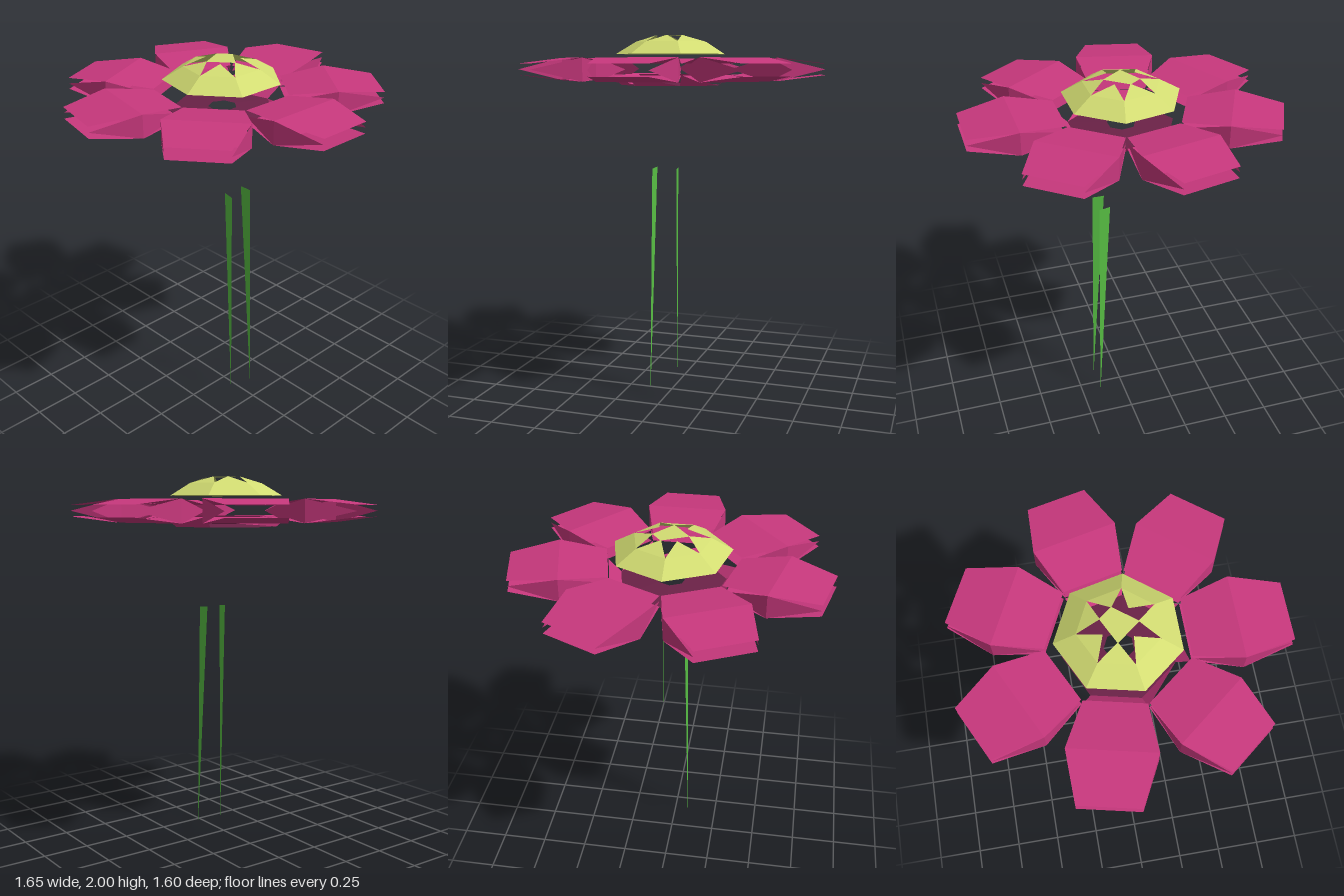
import * as THREE from 'three';

const SIDES = 7;
const STEP = (Math.PI * 2) / SIDES;

const makeMaterial = (name, color) => {
  const m = new THREE.MeshStandardMaterial({ color, side: THREE.DoubleSide, flatShading: true });
  m.name = name;
  return m;
};

// Sheet mesh from flat polygons (each a list of [x, y, z] corners, fanned)
function sheet(name, material, polygons) {
  const pos = [];
  for (const p of polygons) {
    for (let i = 1; i < p.length - 1; i++) pos.push(...p[0], ...p[i], ...p[i + 1]);
  }
  const g = new THREE.BufferGeometry();
  g.setAttribute('position', new THREE.Float32BufferAttribute(pos, 3));
  g.computeVertexNormals();
  const mesh = new THREE.Mesh(g, material);
  mesh.name = name;
  return mesh;
}

// Point on a heptagon ring; k = 0 points to the front, k = 0.5 is a corner
const ring = (k, r, y) => [Math.sin(k * STEP) * r, y, Math.cos(k * STEP) * r];

export function createModel() {
  const pink = makeMaterial('petal pink', 0xc8387d);
  const plum = makeMaterial('base plum', 0x6b2247);
  const lime = makeMaterial('centre lime', 0xd2dc72);
  const green = makeMaterial('stem green', 0x58c044);

  const model = new THREE.Group();
  model.name = 'flower';
  const head = new THREE.Group();
  head.name = 'flowerHead';
  head.position.z = -0.01;
  model.add(head);

  // Petals: open-ended shells, mirrored about mid height
  const MID = 1.82;
  const stations = [[0.32, 0.15, 0.03], [0.56, 0.212, 0.06], [0.81, 0.15, 0.03]];
  const faces = [];
  for (const s of [1, -1]) {
    for (let j = 0; j < 2; j++) {
      const [z0, w0, h0] = stations[j];
      const [z1, w1, h1] = stations[j + 1];
      const quad = [
        [-w0, MID + s * h0, z0], [-w1, MID + s * h1, z1],
        [w1, MID + s * h1, z1], [w0, MID + s * h0, z0],
      ];
      faces.push(s > 0 ? quad : quad.reverse());
    }
    // Pointed side walls, s is the side here
    const [zm, wm, hm] = stations[1];
    for (const [ze, we] of [stations[0], stations[2]]) {
      faces.push([[s * wm, MID - hm, zm], [s * wm, MID + hm, zm], [s * we, MID, ze]]);
    }
  }
  for (let i = 0; i < SIDES; i++) {
    const petal = sheet('petal', pink, faces);
    petal.rotation.y = i * STEP;
    head.add(petal);
  }

  // Base dish with a small open middle
  const dish = [];
  for (let i = 0; i < SIDES; i++) {
    dish.push([
      ring(i - 0.5, 0.28, 1.735), ring(i - 0.5, 0.075, 1.75),
      ring(i + 0.5, 0.075, 1.75), ring(i + 0.5, 0.28, 1.735),
    ]);
  }
  head.add(sheet('baseDish', plum, dish));

  // Dish walls: full on the left and right, slivers at the front
  const walls = [];
  for (const i of [2, 5]) {
    walls.push([
      ring(i - 0.5, 0.28, 1.735), ring(i + 0.5, 0.28, 1.735),
      ring(i + 0.5, 0.35, 1.79), ring(i - 0.5, 0.35, 1.79),
    ]);
  }
  for (const i of [-1, 0, 1]) {
    walls.push([ring(i - 0.5, 0.28, 1.735), ring(i + 0.5, 0.28, 1.735), ring(i - 0.5, 0.35, 1.79)]);
  }
  head.add(sheet('dishWall', pink, walls));

  // Faceted dome: sloped band, inward teeth and a loose cap
  const dome = [];
  for (let i = 0; i < SIDES; i++) {
    const a = ring(i - 0.5, 0.2, 1.965);
    const b = ring(i + 0.5, 0.2, 1.965);
    dome.push([ring(i - 0.5, 0.31, 1.9), ring(i + 0.5, 0.31, 1.9), b, a]);
    dome.push([a, b, ring(i, 0.09, 2)]);
  }
  head.add(sheet('centreDome', lime, dome));
  head.add(sheet('domeCap', lime, [[0, 2, 3, 5].map((k) => ring(k, 0.095, 1.999))]));

  // Stem: two tapering slivers
  for (const s of [1, -1]) {
    model.add(sheet(s > 0 ? 'leftStem' : 'rightStem', green, [
      [[s * 0.08, 0, 0.145], [s * 0.06, 1.295, 0.07], [s * 0.068, 1.29, 0.132]],
    ]));
  }
  return model;
}
